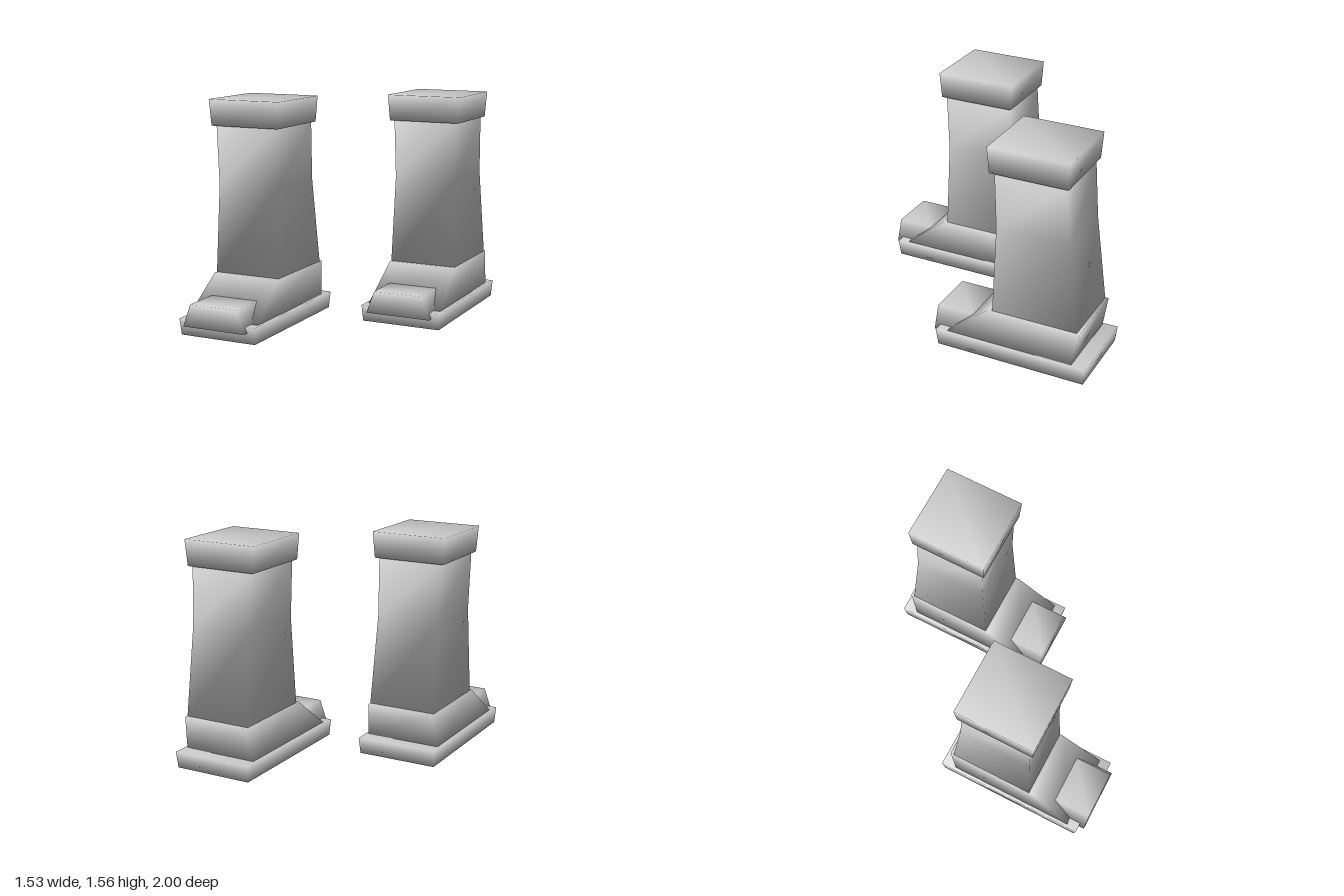
import * as THREE from 'three';

const material = new THREE.MeshStandardMaterial({ color: 0xcccccc });

// Closed solid from stacked rectangles, each given as [y, half width, back z, front z].
// Corners are shared, so the shading flows softly around the edges.
function loft(name, rows) {
  const positions = [];
  const index = [];
  for (const [y, w, back, front] of rows) {
    positions.push(-w, y, front, w, y, front, w, y, back, -w, y, back);
  }
  for (let r = 0; r < rows.length - 1; r++) {
    for (let i = 0; i < 4; i++) {
      const a = r * 4 + i;
      const b = r * 4 + (i + 1) % 4;
      index.push(a, b, b + 4, a, b + 4, a + 4);
    }
  }
  const t = (rows.length - 1) * 4;
  index.push(0, 2, 1, 0, 3, 2, t, t + 1, t + 2, t, t + 2, t + 3);

  const geometry = new THREE.BufferGeometry();
  geometry.setAttribute('position', new THREE.Float32BufferAttribute(positions, 3));
  geometry.setIndex(index);
  geometry.computeVertexNormals();
  const mesh = new THREE.Mesh(geometry, material);
  mesh.name = name;
  return mesh;
}

function createBoot(name) {
  const boot = new THREE.Group();
  boot.name = name;
  boot.add(
    // Sole, widening slightly upwards
    loft('sole', [[0, 0.284, -0.13, 0.945], [0.115, 0.291, -0.145, 0.96]]),
    // Foot with a sloping instep
    loft('foot', [[0.115, 0.27, -0.04, 0.88], [0.355, 0.246, -0.085, 0.577]]),
    // Toe cap jutting over the front of the sole
    loft('toeCap', [[0.076, 0.234, 0.73, 1], [0.235, 0.176, 0.73, 1]]),
    // Shaft, narrowest at the calf
    loft('shaft', [
      [0.355, 0.245, -0.06, 0.55],
      [0.97, 0.223, 0.008, 0.53],
      [1.378, 0.234, 0.04, 0.537],
    ]),
    // Cuff closing the top
    loft('cuff', [[1.378, 0.258, 0.019, 0.563], [1.56, 0.27, 0.008, 0.574]]),
  );
  return boot;
}

export function createModel() {
  const model = new THREE.Group();
  model.name = 'boots';
  // The right boot steps ahead of the left one
  const right = createBoot('rightBoot');
  right.position.set(-0.475, 0, 0);
  const left = createBoot('leftBoot');
  left.position.set(0.475, 0, -0.855);
  model.add(right, left);
  return model;
}
